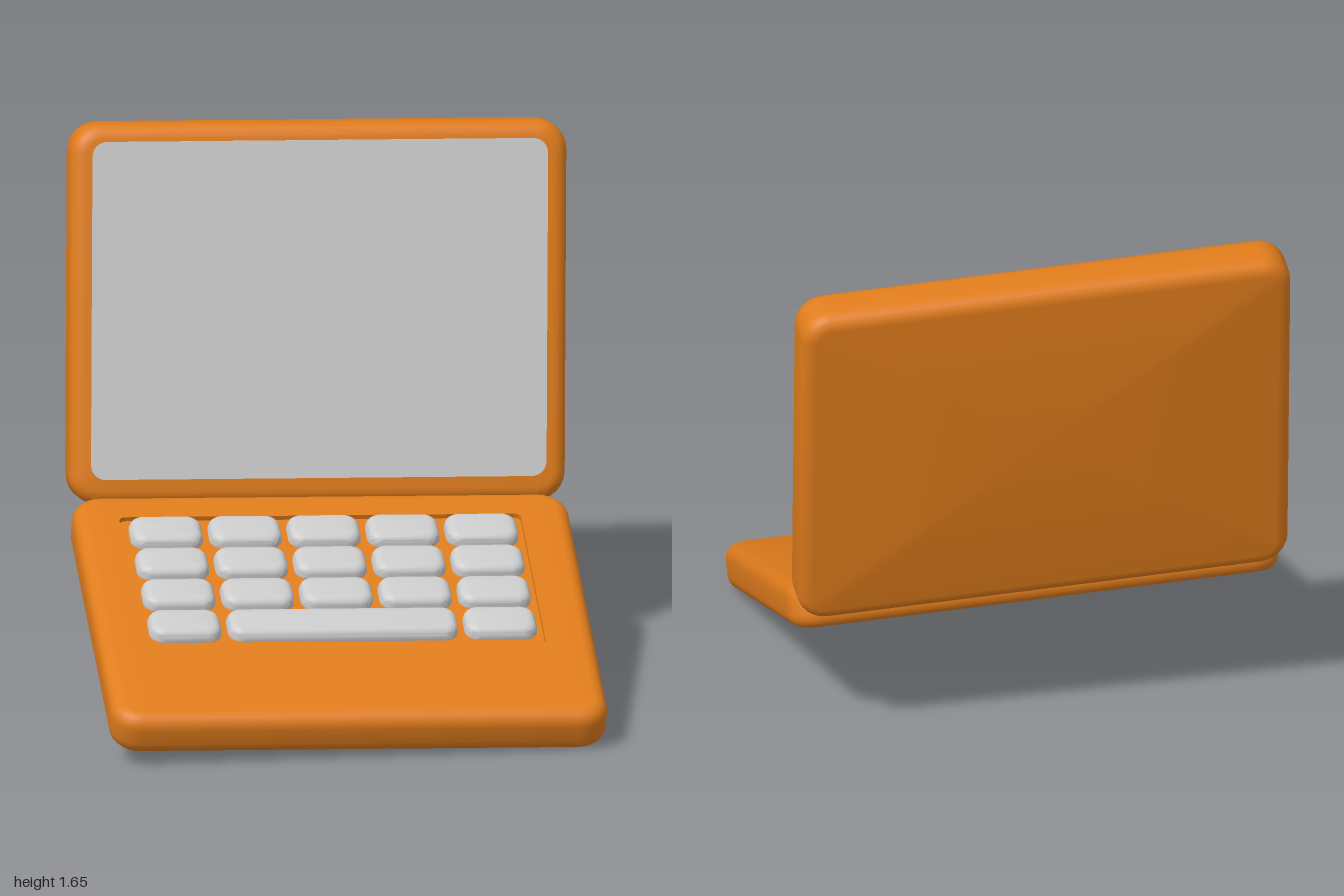
import * as THREE from 'three';
import { toCreasedNormals } from 'three/addons/utils/BufferGeometryUtils.js';

const CORNER = 6; // segments per rounded corner

// One rounded rectangle in the xz plane; zero size gives a cap centre.
const ring = (cx, cz, w, d, r, y) => ({ cx, cz, w, d, r, y });

function ringPoints({ cx, cz, w, d, r, y }) {
  const pts = [];
  for (let q = 0; q < 4; q++) {
    const sx = q === 0 || q === 3 ? 1 : -1, sz = q < 2 ? 1 : -1;
    for (let i = 0; i <= CORNER; i++) {
      const t = (q + i / CORNER) * Math.PI / 2;
      pts.push([cx + sx * (w / 2 - r) + r * Math.cos(t), y, cz + sz * (d / 2 - r) + r * Math.sin(t)]);
    }
  }
  return pts;
}

// Skin a stack of rings from bottom to top.
function loft(rings) {
  const rows = rings.map(ringPoints), pos = [];
  for (let k = 0; k < rows.length - 1; k++) {
    const lo = rows[k], hi = rows[k + 1], n = lo.length;
    for (let i = 0; i < n; i++) {
      const j = (i + 1) % n;
      if (rings[k].w > 0) pos.push(...lo[i], ...hi[i], ...lo[j]);
      if (rings[k + 1].w > 0) pos.push(...lo[j], ...hi[i], ...hi[j]);
    }
  }
  const geo = new THREE.BufferGeometry();
  geo.setAttribute('position', new THREE.Float32BufferAttribute(pos, 3));
  return toCreasedNormals(geo, 0.6);
}

// Rings of a slab with rounded corners and rounded edges, up to its top rim.
function slabRings(cx, cz, w, d, r, y0, y1, bevel, roundBottom = true) {
  const rings = [ring(cx, cz, 0, 0, 0, y0)], steps = 5;
  const edge = (t, y) => {
    const inset = bevel * (1 - Math.cos(t));
    rings.push(ring(cx, cz, w - 2 * inset, d - 2 * inset, r - inset, y));
  };
  if (roundBottom) {
    for (let i = steps; i >= 0; i--) {
      const t = i / steps * Math.PI / 2;
      edge(t, y0 + bevel * (1 - Math.sin(t)));
    }
  } else edge(0, y0);
  for (let i = 0; i <= steps; i++) {
    const t = i / steps * Math.PI / 2;
    edge(t, y1 - bevel * (1 - Math.sin(t)));
  }
  return rings;
}

export function createModel() {
  const model = new THREE.Group();
  model.name = 'laptop';
  const orange = new THREE.MeshStandardMaterial({ color: 0xe07c1c });
  const grey = new THREE.MeshStandardMaterial({ color: 0xcccccc });

  const add = (parent, name, rings, material) => {
    const mesh = new THREE.Mesh(loft(rings), material);
    mesh.name = name;
    parent.add(mesh);
  };

  // Tilted frame with its origin on the hinge: x along hinge, z towards the user
  const frame = new THREE.Group();
  frame.name = 'tiltedBody';
  const u = new THREE.Vector3(0.894, -0.032, 0.447).normalize();
  const v = new THREE.Vector3(-0.431, -0.341, 0.836);
  v.addScaledVector(u, -u.dot(v)).normalize();
  const n = new THREE.Vector3().crossVectors(v, u);
  frame.quaternion.setFromRotationMatrix(new THREE.Matrix4().makeBasis(u, n, v));
  frame.position.set(0.15, 0.52, -0.318);
  model.add(frame);

  const WIDTH = 1.52;

  // Base with a shallow keyboard recess
  const trayZ = 0.443, trayW = 1.23, trayD = 0.665, floorY = -0.015;
  add(frame, 'base', [
    ...slabRings(0, 0.5625, WIDTH, 1.155, 0.09, -0.14, 0, 0.045),
    ring(-0.01, trayZ, trayW, trayD, 0.02, 0),
    ring(-0.01, trayZ, trayW, trayD, 0.02, floorY),
    ring(-0.01, trayZ, 0, 0, 0, floorY),
  ], orange);

  // Keys: four rows of five, with a space bar in the front row
  const keys = new THREE.Group();
  keys.name = 'keyboard';
  frame.add(keys);
  const pitchX = 0.2415, pitchZ = 0.158;
  const addKey = (name, col, row, span) => {
    const x = -0.007 + (col - 2) * pitchX, z = 0.188 + row * pitchZ;
    const rings = slabRings(x, z, 0.222 + (span - 1) * pitchX, 0.138, 0.045, floorY, 0.022, 0.03, false);
    add(keys, name, [...rings, ring(x, z, 0, 0, 0, 0.022)], grey);
  };
  for (let row = 0; row < 4; row++) {
    for (let col = 0; col < 5; col++) {
      if (row === 3 && col > 0 && col < 4) continue;
      addKey('key', col, row, 1);
    }
  }
  addKey('spaceBar', 2, 3, 3);

  // Lid, swung up about the hinge
  const lid = new THREE.Group();
  lid.name = 'lid';
  lid.rotation.x = 1.033;
  frame.add(lid);
  add(lid, 'lidShell', [
    ...slabRings(0, -0.55, WIDTH, 1.16, 0.09, -0.16, 0, 0.045),
    ring(0, -0.55, 0, 0, 0, 0),
  ], orange);
  add(lid, 'screen', [
    ring(0, -0.563, 1.395, 1.03, 0.045, -0.01),
    ring(0, -0.563, 1.395, 1.03, 0.045, 0.003),
    ring(0, -0.563, 0, 0, 0, 0.003),
  ], grey);

  return model;
}
